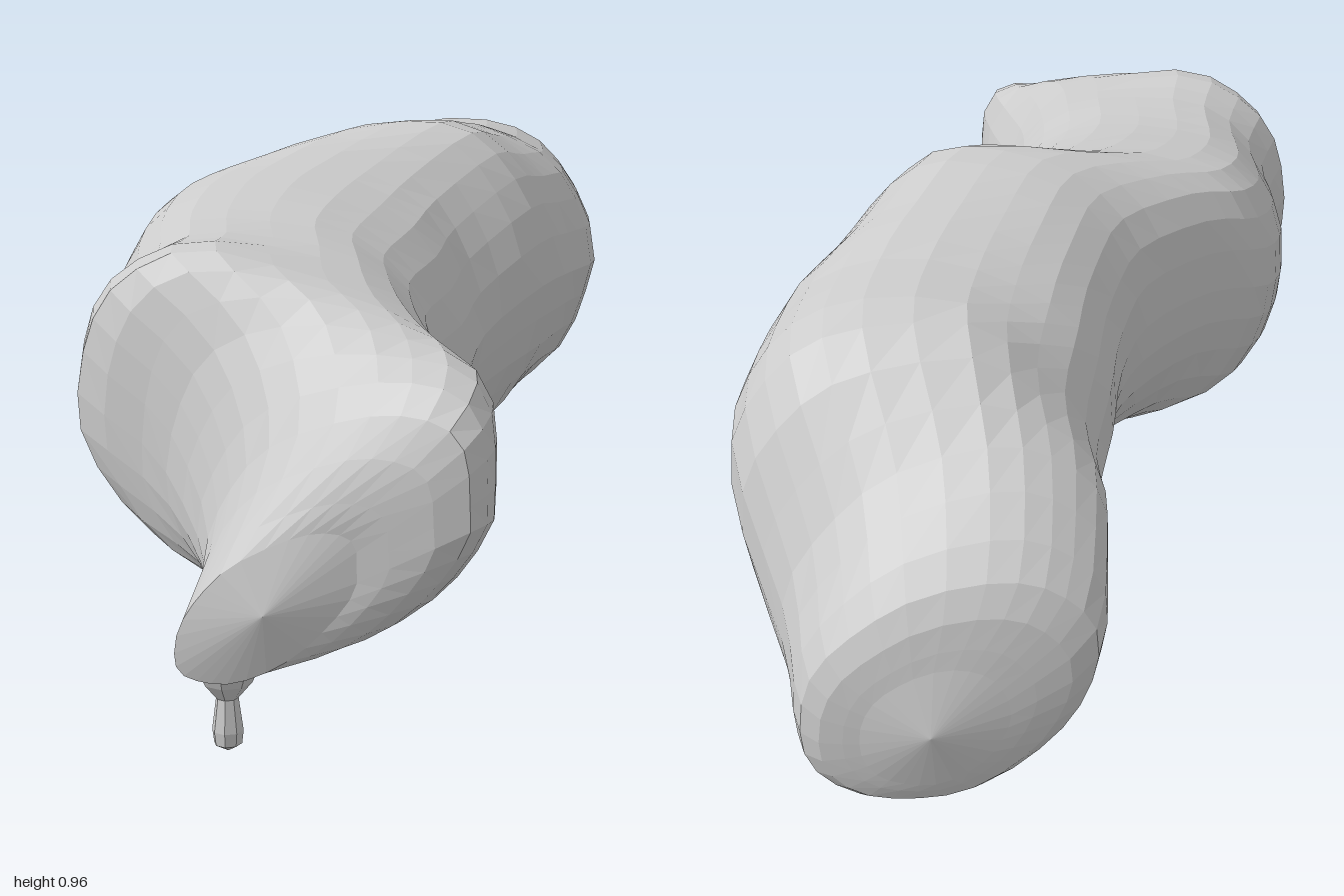
import * as THREE from 'three';

// Cross-sections along the body:
// [front edge x, z, back edge x, z, bottom y, top y, rise from front edge to back edge]
const SECTIONS = [
  [-0.96, -0.66, -0.82, -0.88, 0.19, 0.42, -0.06],
  [-1.00, -0.51, -0.74, -0.95, 0.14, 0.56, -0.14],
  [-0.86, -0.39, -0.58, -0.90, 0.16, 0.72, -0.16],
  [-0.69, -0.29, -0.35, -0.87, 0.20, 0.87, 0.05],
  [-0.57, -0.18, -0.11, -0.70, 0.24, 0.90, 0.02],
  [-0.43, -0.05, 0.02, -0.52, 0.26, 0.93, 0],
  [-0.32, 0.09, 0.17, -0.30, 0.26, 0.965, 0],
  [-0.29, 0.28, 0.19, -0.12, 0.25, 0.915, -0.10],
  [-0.28, 0.44, 0.28, 0.00, 0.22, 0.88, -0.11],
  [-0.13, 0.60, 0.43, 0.19, 0.21, 0.85, -0.06],
  [0.07, 0.73, 0.59, 0.30, 0.21, 0.835, -0.06],
  [0.20, 0.87, 0.80, 0.39, 0.20, 0.82, -0.10],
  [0.41, 0.81, 0.92, 0.46, 0.19, 0.74, 0.04],
  [0.57, 0.83, 1.00, 0.58, 0.20, 0.60, 0.17],
  [0.66, 0.95, 0.87, 0.72, 0.18, 0.40, 0.16],
];
// Swellings blended into the surface: [x, y, z, radius, height]
const BUMPS = [
  [-0.60, 0.84, -0.50, 0.10, 0.025],
  [0.02, 0.27, -0.20, 0.10, 0.04],
  [0.38, 0.78, 0.72, 0.10, 0.02],
  [0.30, 0.50, 0.80, 0.10, -0.02],
  [0.88, 0.63, 0.52, 0.09, 0.03],
];
const SIDES = 28, STEPS = 3;

// Catmull-Rom blend of the sections at position t
function sectionAt(t) {
  const last = SECTIONS.length - 1;
  const i = Math.min(Math.floor(t), last - 1), f = t - i;
  const at = k => SECTIONS[Math.max(0, Math.min(last, k))];
  return SECTIONS[0].map((_, k) => {
    const [p, a, b, n] = [-1, 0, 1, 2].map(o => at(i + o)[k]);
    return a + 0.5 * f * (b - p + f * (2 * p - 5 * a + 4 * b - n + f * (3 * (a - b) + n - p)));
  });
}

const power = (v, e) => Math.sign(v) * Math.abs(v) ** e;

// Closed lumpy body lofted through the sections
function bodyGeometry() {
  const pos = [], index = [], centres = [];
  const rings = (SECTIONS.length - 1) * STEPS + 1;
  const point = new THREE.Vector3(), centre = new THREE.Vector3(), out = new THREE.Vector3();
  for (let i = 0; i < rings; i++) {
    const [lx, lz, rx, rz, y0, y1, rise] = sectionAt(i / STEPS);
    centre.set((lx + rx) / 2, (y0 + y1) / 2, (lz + rz) / 2);
    centres.push(centre.clone());
    for (let j = 0; j < SIDES; j++) {
      const a = j / SIDES * Math.PI * 2;
      const dent = 1 + 0.012 * Math.sin(i * 0.9 + 3 * a) * Math.sin(i * 0.37 - 5 * a)
        + 0.014 * Math.sin(i * 12.7 + j * 7.3);
      // squarish above, rounder below
      const e = Math.sin(a) > 0 ? 0.88 : 1;
      const s = power(Math.cos(a), e) * 0.5 * dent;
      const h = power(Math.sin(a), e) * (y1 - y0) / 2 * dent;
      out.set((rx - lx) * s, h + rise * s, (rz - lz) * s);
      point.copy(centre).add(out);
      out.normalize();
      let swell = 0;
      for (const [x, y, z, r, height] of BUMPS) {
        const d2 = (point.x - x) ** 2 + (point.y - y) ** 2 + (point.z - z) ** 2;
        swell += height * Math.exp(-d2 / (r * r));
      }
      point.addScaledVector(out, swell);
      pos.push(point.x, point.y, point.z);
    }
  }
  for (let i = 0; i < rings - 1; i++) {
    for (let j = 0; j < SIDES; j++) {
      const k = (j + 1) % SIDES;
      const a = i * SIDES + j, b = i * SIDES + k;
      index.push(a, b, b + SIDES, a, b + SIDES, a + SIDES);
    }
  }
  // end caps
  const first = rings * SIDES, base = (rings - 1) * SIDES;
  const start = centres[0], end = centres[rings - 1];
  pos.push(start.x - 0.02, start.y, start.z - 0.02, end.x + 0.02, end.y, end.z + 0.02);
  for (let j = 0; j < SIDES; j++) {
    const k = (j + 1) % SIDES;
    index.push(first, k, j, first + 1, base + j, base + k);
  }
  const g = new THREE.BufferGeometry();
  g.setAttribute('position', new THREE.Float32BufferAttribute(pos, 3));
  g.setIndex(index);
  g.computeVertexNormals();
  return g;
}

export function createModel() {
  const group = new THREE.Group();
  const material = new THREE.MeshStandardMaterial({ color: 0xcccccc, flatShading: true });

  const body = new THREE.Mesh(bodyGeometry(), material);
  body.name = 'body';

  // hanging drip under the low front corner
  const profile = [[0, 0], [0.025, 0.015], [0.028, 0.04], [0.02, 0.1], [0.045, 0.13], [0.08, 0.21], [0.06, 0.26], [0, 0.28]];
  const drip = new THREE.Mesh(
    new THREE.LatheGeometry(profile.map(([r, y]) => new THREE.Vector2(r, y)), 8), material);
  drip.name = 'drip';
  drip.position.set(0.65, 0, 0.84);

  group.add(body, drip);
  return group;
}
